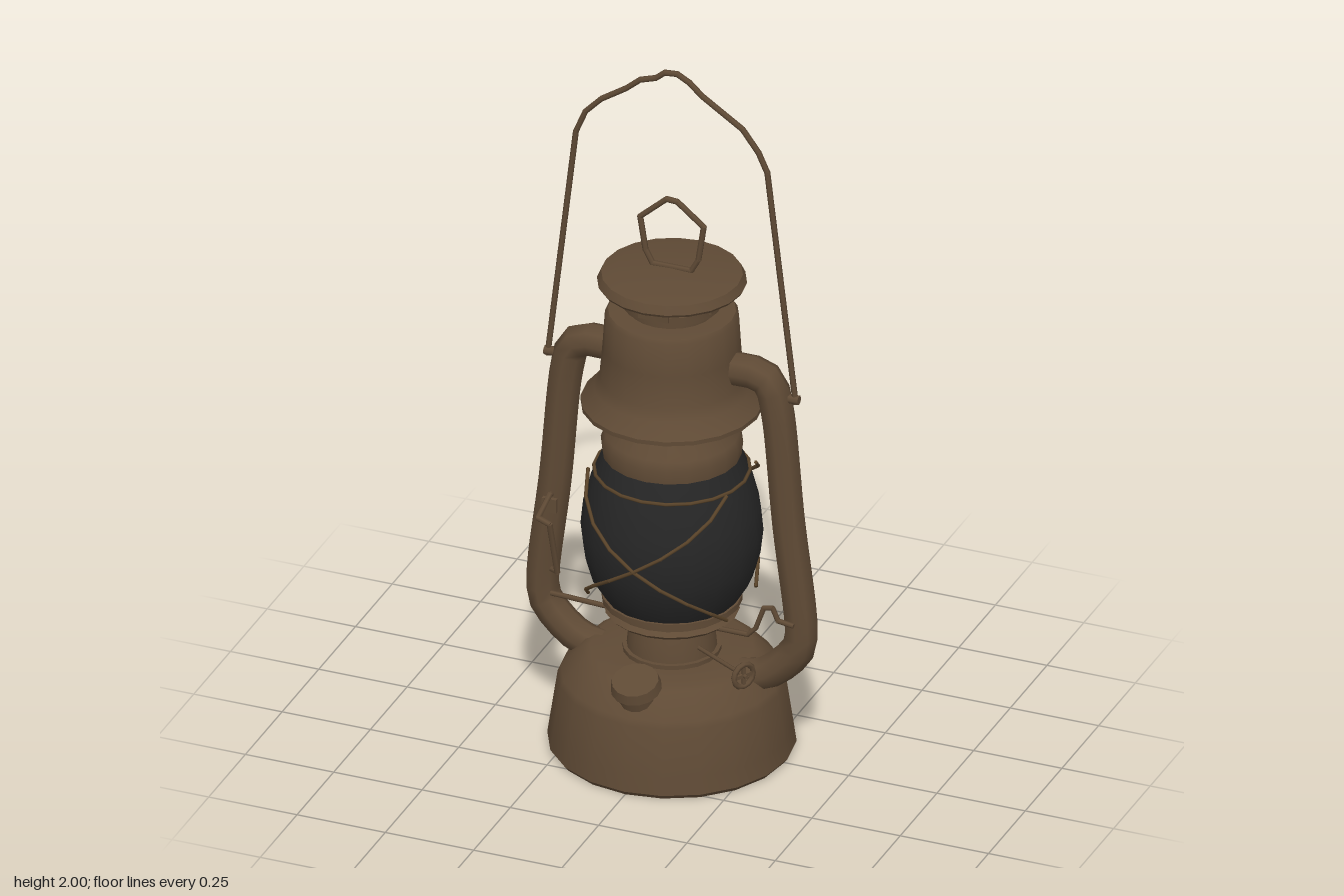
import * as THREE from 'three';
import { toCreasedNormals } from 'three/addons/utils/BufferGeometryUtils.js';

const SIDES = 20;
const metal = new THREE.MeshStandardMaterial({ color: 0x5f4a35 });
metal.name = 'aged bronze';
const glass = new THREE.MeshStandardMaterial({ color: 0x262626 });
glass.name = 'smoked glass';
const wire = new THREE.MeshStandardMaterial({ color: 0x594329 });
wire.name = 'wire';

export function createModel() {
  const model = new THREE.Group();
  model.name = 'lantern';
  const V = (p) => new THREE.Vector3(...p);

  function add(name, geometry, material = metal, parent = model) {
    const mesh = new THREE.Mesh(geometry, material);
    mesh.name = name;
    parent.add(mesh);
    return mesh;
  }

  // Turned part from [radius, height] pairs, listed bottom to top
  function turned(name, profile, material = metal, crease = 0.6) {
    const pts = profile.map(([r, y]) => new THREE.Vector2(r, y));
    const geo = new THREE.LatheGeometry(pts, SIDES);
    geo.deleteAttribute('normal');
    return add(name, toCreasedNormals(geo, crease), material);
  }

  // Bent wire made of straight rods through the points
  function bentWire(name, points, radius, material = metal) {
    const group = new THREE.Group();
    group.name = name;
    for (let i = 1; i < points.length; i++) {
      const a = V(points[i - 1]), b = V(points[i]);
      const dir = b.clone().sub(a);
      const rod = add(name + 'Rod', new THREE.CylinderGeometry(radius, radius, dir.length() + radius * 0.6, 6), material, group);
      rod.position.copy(a).add(b).multiplyScalar(0.5);
      rod.quaternion.setFromUnitVectors(new THREE.Vector3(0, 1, 0), dir.normalize());
    }
    model.add(group);
    return group;
  }

  // Fuel tank, burner neck and globe seat
  turned('fuelTank', [[0, 0.012], [0.31, 0.012], [0.318, 0], [0.327, 0.012], [0.32, 0.06], [0.3, 0.195],
    [0.292, 0.212], [0.235, 0.272], [0.215, 0.28], [0.13, 0.28], [0.13, 0.292], [0, 0.292]]);
  turned('burnerNeck', [[0.12, 0.28], [0.115, 0.33], [0.1, 0.385], [0.08, 0.4], [0, 0.4]]);
  turned('globeSeat', [[0, 0.39], [0.165, 0.39], [0.178, 0.402], [0.165, 0.412], [0.165, 0.422],
    [0.185, 0.428], [0.185, 0.445], [0, 0.445]]);

  // Glass globe
  turned('globe', [[0, 0.44], [0.175, 0.44], [0.212, 0.5], [0.232, 0.57], [0.24, 0.64], [0.233, 0.71],
    [0.212, 0.79], [0.182, 0.865], [0, 0.865]], glass, 0.7);

  // Collar, hood and chimney
  turned('globeCollar', [[0, 0.855], [0.182, 0.855], [0.187, 0.9], [0.178, 0.925], [0.148, 0.96], [0.14, 1.02]]);
  turned('hood', [[0.13, 1.035], [0.23, 1.012], [0.24, 1.008], [0.24, 1.02], [0.205, 1.06], [0.19, 1.09],
    [0.182, 1.18], [0.176, 1.275], [0.168, 1.287], [0.125, 1.29], [0, 1.29]]);
  turned('chimneyRing', [[0.115, 1.285], [0.115, 1.3], [0.13, 1.305], [0.13, 1.33], [0, 1.33]]);
  turned('chimneyCore', [[0.042, 1.32], [0.042, 1.39]]);
  for (let i = 0; i < 4; i++) {
    const a = i * Math.PI / 2;
    const post = add('chimneyPost', new THREE.BoxGeometry(0.085, 0.07, 0.014));
    post.position.set(Math.sin(a) * 0.122, 1.352, Math.cos(a) * 0.122);
    post.rotation.y = a;
  }
  turned('chimneyCap', [[0, 1.383], [0.13, 1.383], [0.192, 1.366], [0.197, 1.374], [0.186, 1.397],
    [0.15, 1.404], [0, 1.412]]);

  // Hollow side tubes, mirrored
  for (const s of [1, -1]) {
    const path = new THREE.CatmullRomCurve3([[0.15, 1.145, 0], [0.235, 1.147, 0], [0.275, 1.128, 0], [0.296, 1.06, 0],
      [0.33, 0.72, 0], [0.366, 0.4, 0], [0.358, 0.35, 0], [0.3, 0.282, 0], [0.25, 0.25, 0], [0.2, 0.24, 0]]
      .map(([x, y, z]) => V([x * s, y, z])), false, 'centripetal');
    add(s > 0 ? 'leftTube' : 'rightTube', new THREE.TubeGeometry(path, 28, 0.046, 8));

    // Ears for the carrying handle
    const ear = add('handleEar', new THREE.CylinderGeometry(0.013, 0.013, 0.07, 8));
    ear.rotation.z = Math.PI / 2;
    ear.position.set(s * 0.325, 1.09, 0);
  }

  // Carrying handle and the loop on the cap
  bentWire('carryingHandle', [[-0.352, 1.08, 0], [-0.272, 1.76, 0], [-0.245, 1.825, 0], [-0.2, 1.872, 0],
    [-0.13, 1.918, 0], [-0.09, 1.952, 0], [-0.045, 1.967, 0], [-0.02, 1.988, 0], [0.015, 1.991, 0], [0.05, 1.972, 0],
    [0.085, 1.94, 0], [0.2, 1.865, 0], [0.245, 1.805, 0], [0.27, 1.75, 0], [0.35, 1.08, 0]], 0.008);
  bentWire('capLoop', [[-0.055, 1.413, 0], [-0.075, 1.45, 0], [-0.09, 1.545, 0], [-0.015, 1.612, 0], [0.015, 1.61, 0],
    [0.09, 1.55, 0], [0.075, 1.45, 0], [0.055, 1.413, 0], [-0.055, 1.413, 0]], 0.008);

  // Crossed guard wires on the front and back of the globe
  for (const face of [0, Math.PI]) for (const s of [1, -1]) {
    const pts = [];
    for (let i = 0; i <= 8; i++) {
      const t = i / 4 - 1, a = face + s * t * 1.1, r = 0.22 + 0.046 * (1 - t * t);
      pts.push([Math.sin(a) * r, 0.635 + t * 0.185, Math.cos(a) * r]);
    }
    bentWire('guardWire', pts, 0.005, wire);
  }
  const ring = add('guardRing', new THREE.TorusGeometry(0.205, 0.005, 5, SIDES), wire);
  ring.rotation.x = Math.PI / 2;
  ring.position.y = 0.815;

  // Filler neck and tilted cap on the front of the tank
  const filler = new THREE.Group();
  filler.name = 'filler';
  add('fillerNeck', new THREE.CylinderGeometry(0.05, 0.05, 0.09, 14), metal, filler).position.y = -0.045;
  add('fillerCap', new THREE.CylinderGeometry(0.062, 0.068, 0.028, 14), metal, filler).position.y = 0.008;
  filler.position.set(0, 0.286, 0.245);
  filler.rotation.x = 0.3;
  model.add(filler);

  // Wick shaft and thumb wheel
  const shaftEnd = [0.275, 0.325, 0.155];
  bentWire('wickShaft', [[0.08, 0.325, 0.045], shaftEnd], 0.006);
  const wheel = new THREE.Group();
  wheel.name = 'wickWheel';
  add('wheelRim', new THREE.TorusGeometry(0.032, 0.008, 6, 12), metal, wheel);
  for (const a of [0, Math.PI / 2]) {
    add('wheelSpoke', new THREE.BoxGeometry(0.06, 0.01, 0.008), metal, wheel).rotation.z = a;
  }
  wheel.position.set(0.265, 0.325, 0.15);
  wheel.rotation.y = Math.PI / 2 - 0.51;
  model.add(wheel);

  // Globe lifting lever across the seat
  bentWire('liftLever', [[-0.32, 0.397, 0.05], [-0.17, 0.397, 0.06], [0.24, 0.397, 0.06], [0.262, 0.42, 0.06],
    [0.285, 0.485, 0.06], [0.31, 0.49, 0.06], [0.325, 0.455, 0.06], [0.368, 0.45, 0.062]], 0.007);

  // Latch wire and clip on the right tube
  bentWire('latchWire', [[-0.395, 0.63, -0.06], [-0.335, 0.66, -0.055], [-0.325, 0.69, 0.05], [-0.34, 0.64, 0.095],
    [-0.305, 0.63, 0.1], [-0.3, 0.47, 0.06], [-0.32, 0.465, 0.045]], 0.008);
  add('latchClip', new THREE.BoxGeometry(0.04, 0.04, 0.012)).position.set(-0.325, 0.66, 0.052);

  return model;
}
